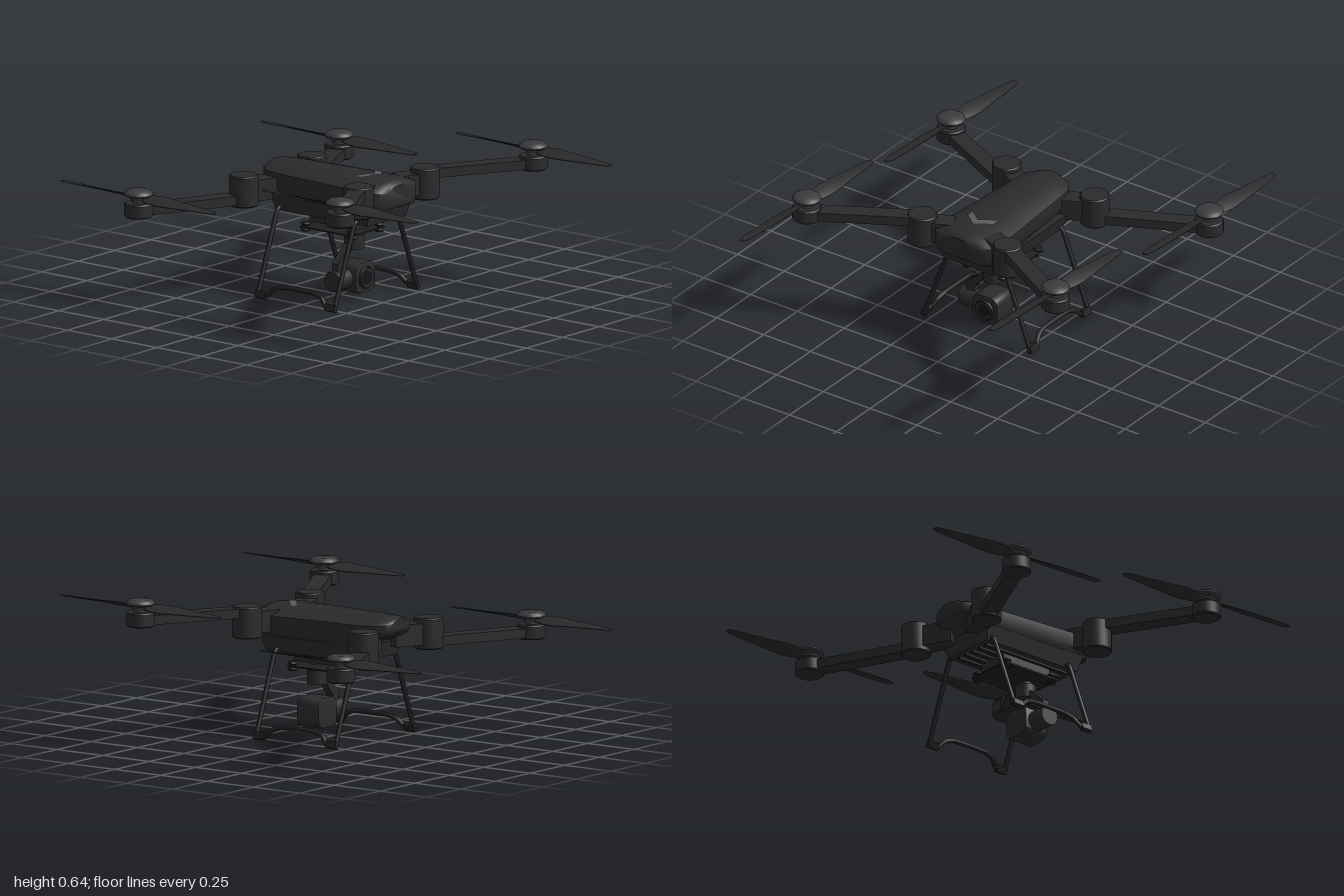
import * as THREE from 'three';
import { toCreasedNormals } from 'three/addons/utils/BufferGeometryUtils.js';

const mat = (name, color, side = THREE.FrontSide) => {
  const m = new THREE.MeshStandardMaterial({ color, side });
  m.name = name;
  return m;
};

export function createModel() {
  const shell = mat('charcoal shell', 0x2b2b2b);
  const dark = mat('dark frame', 0x202020);
  const grey = mat('grey trim', 0x3c3c3e);
  const mark = mat('light grey mark', 0x5a5a5e, THREE.DoubleSide);
  const glass = mat('lens black', 0x141416);

  const root = new THREE.Group();
  root.name = 'drone';
  const add = (name, geo, material, x = 0, y = 0, z = 0, parent = root) => {
    const m = new THREE.Mesh(geo, material);
    m.name = name;
    m.position.set(x, y, z);
    parent.add(m);
    return m;
  };
  const box = (w, h, d) => new THREE.BoxGeometry(w, h, d);
  const cyl = (r, h, n = 32) => new THREE.CylinderGeometry(r, r, h, n);
  const lathe = pts => toCreasedNormals(
    new THREE.LatheGeometry(pts.map(p => new THREE.Vector2(...p)), 32), 0.6);
  // flat bar between two plan points [x, z]
  const bar = (name, a, b, y, w, h, material, parent) => {
    const dx = b[0] - a[0], dz = b[1] - a[1];
    const m = add(name, box(w, h, Math.hypot(dx, dz)), material,
      (a[0] + b[0]) / 2, y, (a[1] + b[1]) / 2, parent);
    m.rotation.y = Math.atan2(dx, dz);
    return m;
  };

  // Body: crowned cross-sections [z, half width, crown y, shoulder y, bottom y]
  const sections = [
    [-0.36, 0.05, 0.55, 0.535, 0.505], [-0.35, 0.085, 0.555, 0.53, 0.49],
    [-0.31, 0.118, 0.56, 0.527, 0.465], [-0.24, 0.128, 0.564, 0.525, 0.435],
    [0, 0.145, 0.567, 0.525, 0.43], [0.2, 0.161, 0.567, 0.525, 0.43],
    [0.27, 0.164, 0.564, 0.525, 0.43], [0.31, 0.152, 0.559, 0.523, 0.432],
    [0.332, 0.125, 0.55, 0.518, 0.438], [0.342, 0.09, 0.54, 0.512, 0.45]];
  const pos = [], idx = [], N = 12;
  for (const [z, w, crown, sh, bot] of sections) {
    pos.push(w * 0.88, bot, z, w, bot + (sh - bot) * 0.3, z);
    for (let i = 0; i <= N; i++) {
      const u = Math.cos(i / N * Math.PI);
      pos.push(w * u, sh + (crown - sh) * (1 - u * u), z);
    }
    pos.push(-w, bot + (sh - bot) * 0.3, z, -w * 0.88, bot, z);
  }
  const R = N + 5, last = (sections.length - 1) * R;
  for (let i = 0; i < last; i += R) for (let j = 0; j < R; j++) {
    const k = (j + 1) % R;
    idx.push(i + j, i + k, i + R + k, i + j, i + R + k, i + R + j);
  }
  for (let j = 1; j < R - 1; j++) idx.push(last, last + j, last + j + 1, 0, j + 1, j);
  const bodyGeo = new THREE.BufferGeometry();
  bodyGeo.setAttribute('position', new THREE.Float32BufferAttribute(pos, 3));
  bodyGeo.setIndex(idx);
  add('body', toCreasedNormals(bodyGeo, 0.6), shell);

  // Chevron laid on the crown
  const chev = new THREE.PlaneGeometry(2, 1, 12, 1);
  const cp = chev.attributes.position;
  for (let i = 0; i < cp.count; i++) {
    const u = cp.getX(i), x = 0.07 * u;
    cp.setXYZ(i, x, 0.5705 - 0.042 * (x / 0.16) ** 2, 0.222 - 0.06 * Math.abs(u) - 0.04 * cp.getY(i));
  }
  chev.computeVertexNormals();
  add('chevron', chev, mark);

  // Belly: tapered tray with cooling ribs
  const belly = box(0.3, 0.07, 0.55), bp = belly.attributes.position;
  for (let i = 0; i < bp.count; i++) if (bp.getY(i) < 0)
    bp.setXYZ(i, bp.getX(i) * 0.87, bp.getY(i), bp.getZ(i) * 0.93);
  belly.computeVertexNormals();
  add('belly', belly, shell, 0, 0.4, 0.012);
  for (let i = -2; i <= 2; i++) add('bellyRib', box(0.018, 0.008, 0.46), dark, i * 0.045, 0.362, 0.01);

  // Propeller blade: thin box, tapered and twisted along its length
  const blade = new THREE.BoxGeometry(1, 1, 1, 4, 1, 14), vp = blade.attributes.position;
  for (let i = 0; i < vp.count; i++) {
    const t = vp.getZ(i) + 0.5, u = vp.getX(i);
    let chord = t < 0.3 ? 0.035 + 0.04 * Math.sin(t / 0.3 * Math.PI / 2) : 0.075 - 0.038 * (t - 0.3) / 0.7;
    if (t > 0.95) chord *= 0.65;
    const a = 0.42 * (1 - t) + 0.06;
    const c = u * chord, h = vp.getY(i) * 0.008 * (1 - 2.4 * u * u) * (1.3 - 0.7 * t);
    vp.setXYZ(i, c * Math.cos(a) - h * Math.sin(a), c * Math.sin(a) + h * Math.cos(a), 0.02 + t * 0.428);
  }
  blade.computeVertexNormals();

  const capGeo = lathe([[0, -0.012], [0.036, -0.012], [0.042, 0], [0.06, 0.004],
    [0.064, 0.012], [0.06, 0.02], [0.046, 0.029], [0, 0.03]]);
  const motorGeo = lathe([[0, -0.032], [0.056, -0.032], [0.063, -0.026], [0.063, 0.026], [0.058, 0.032], [0, 0.032]]);
  const hingeGeo = lathe([[0, -0.069], [0.06, -0.069], [0.065, -0.064], [0.065, 0.064], [0.06, 0.069], [0, 0.069]]);

  // Arms: front pair high, rear pair low
  const arms = [
    { name: 'front', hinge: [0.228, 0.297], motor: [0.665, 0.548], inner: [0.1, 0.24], hy: 0.502, ay: 0.545, my: 0.548 },
    { name: 'rear', hinge: [0.235, -0.338], motor: [0.69, -0.556], inner: [0.07, -0.26], hy: 0.457, ay: 0.42, my: 0.422 }];
  for (const a of arms) for (const s of [1, -1]) {
    const g = new THREE.Group();
    g.name = a.name + (s > 0 ? 'LeftArm' : 'RightArm');
    root.add(g);
    const h = [s * a.hinge[0], a.hinge[1]], m = [s * a.motor[0], a.motor[1]];
    bar('shoulder', [s * a.inner[0], a.inner[1]], h, a.hy, 0.085, 0.095, shell, g);
    add('hinge', hingeGeo, shell, h[0], a.hy, h[1], g);
    bar('arm', h, m, a.ay, 0.075, 0.042, shell, g);
    add('motor', motorGeo, shell, m[0], a.my, m[1], g);
    add('shaft', cyl(0.03, 0.04), grey, m[0], a.my + 0.045, m[1], g);
    add('motorCap', capGeo, grey, m[0], a.my + 0.058, m[1], g);
    const prop = new THREE.Group();
    prop.name = 'propeller';
    prop.position.set(m[0], a.my + 0.055, m[1]);
    prop.rotation.y = -0.056;
    g.add(prop);
    for (let k = 0; k < 2; k++) add('blade', blade, shell, 0, 0, 0, prop).rotation.y = k * Math.PI;
  }

  // Landing gear: splayed tube frames
  for (const s of [1, -1]) {
    const P = (y, z) => new THREE.Vector3(s * (0.285 - 0.378 * (y - 0.01)), y, z);
    const tube = (name, pts, n) => {
      const path = new THREE.CatmullRomCurve3(pts, false, 'catmullrom', 0.25);
      add(name, new THREE.TubeGeometry(path, n, 0.0105, 10), dark);
    };
    for (const z of [0.207, -0.222]) {
      tube('landingLeg', [new THREE.Vector3(s * 0.1, 0.385, z), new THREE.Vector3(s * 0.135, 0.378, z),
        P(0.355, z), P(0.014, z)], 24);
      const foot = add('foot', box(0.022, 0.032, 0.055), dark, s * 0.283, 0.018, z - Math.sign(z) * 0.02);
      foot.rotation.z = s * 0.36;
    }
    tube('skid', [P(0.016, 0.207), P(0.018, 0.16), P(0.05, 0.125), P(0.064, 0.08), P(0.066, -0.01),
      P(0.064, -0.095), P(0.05, -0.14), P(0.018, -0.175), P(0.016, -0.222)], 48);
  }

  // Gimbal mount with rubber dampers
  add('mountBlock', box(0.15, 0.045, 0.26), shell, 0, 0.345, 0.028);
  add('mountPlate', box(0.23, 0.006, 0.29), dark, 0, 0.303, 0.022);
  const damper = lathe([[0, -0.02], [0.018, -0.02], [0.022, -0.012], [0.012, -0.003],
    [0.012, 0.003], [0.022, 0.012], [0.018, 0.02], [0, 0.02]]);
  for (const x of [-0.095, 0.095]) for (const z of [0.15, -0.106]) add('damper', damper, dark, x, 0.304, z);
  add('yawShaft', cyl(0.026, 0.06), grey, 0, 0.3, 0.088);
  add('yawMotor', cyl(0.045, 0.062), shell, 0, 0.251, 0.088);

  // Bent gimbal arm
  const armShape = new THREE.Shape([[0.02, 0.22], [0.02, 0.25], [-0.05, 0.245], [-0.133, 0.172],
    [-0.133, 0.12], [-0.09, 0.12], [-0.09, 0.158], [-0.04, 0.22]].map(p => new THREE.Vector2(...p)));
  add('gimbalArm', new THREE.ExtrudeGeometry(armShape, { depth: 0.036, bevelEnabled: false }), shell, 0, 0, 0.07);
  add('rollMotor', cyl(0.045, 0.095), shell, -0.108, 0.096, 0.09).rotation.z = Math.PI / 2;

  // Camera: rounded square housing with stepped lens
  const r = 0.03, e = 0.061, cam = new THREE.Shape();
  [[1, 1, 0], [-1, 1, 1], [-1, -1, 2], [1, -1, 3]].forEach(([x, y, q]) =>
    cam.absarc(x * (e - r), y * (e - r), r, q * Math.PI / 2, (q + 1) * Math.PI / 2, false));
  const camGeo = new THREE.ExtrudeGeometry(cam, {
    depth: 0.11, bevelThickness: 0.006, bevelSize: 0.006, bevelSegments: 2, curveSegments: 8 });
  add('camera', toCreasedNormals(camGeo, 0.6), shell, 0, 0.097, 0.036);
  const ring = add('lensRing', new THREE.TorusGeometry(0.044, 0.005, 10, 36), dark, 0, 0.097, 0.153);
  ring.scale.z = 1.6;
  add('lensBarrel', cyl(0.041, 0.012), shell, 0, 0.097, 0.156).rotation.x = Math.PI / 2;
  add('lens', cyl(0.03, 0.008), glass, 0, 0.097, 0.16).rotation.x = Math.PI / 2;

  return root;
}
